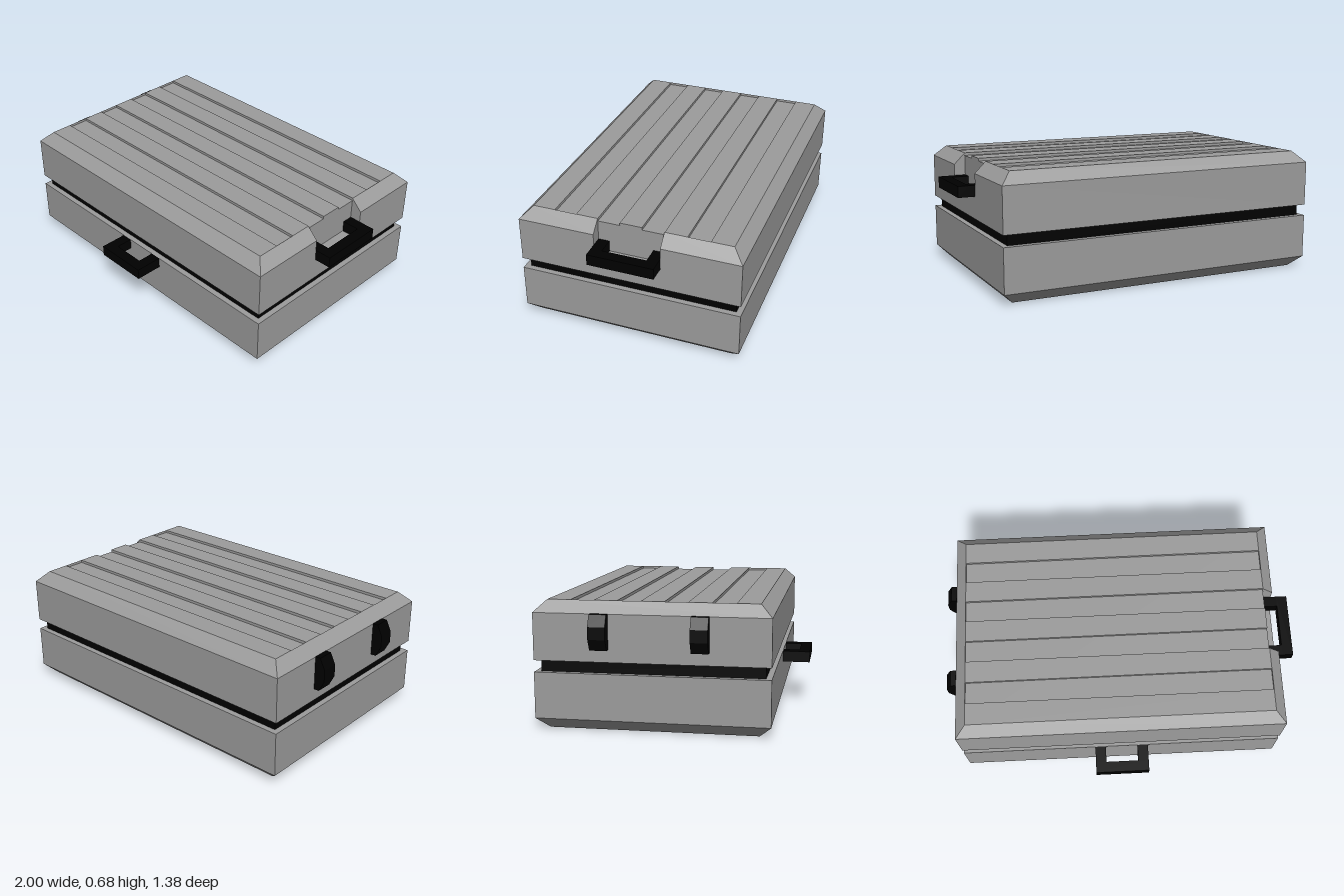
import * as THREE from 'three';

const grey = new THREE.MeshStandardMaterial({ color: 0x9c9c9c, flatShading: true });
const black = new THREE.MeshStandardMaterial({ color: 0x000000, flatShading: true });

// outer and inner (chamfer) rectangles of the case, seen from above
const X0 = -0.94, X1 = 0.906, Z0 = -0.692, Z1 = 0.538, C = 0.062;
const x0 = X0 + C, x1 = X1 - C, z0 = Z0 + C, z1 = Z1 - C;
const GROOVE = 0.015, STRIPS = 9;

function box(name, material, ax, bx, ay, by, az, bz) {
  const mesh = new THREE.Mesh(new THREE.BoxGeometry(bx - ax, Math.abs(by - ay), bz - az), material);
  mesh.position.set((ax + bx) / 2, (ay + by) / 2, (az + bz) / 2);
  mesh.name = name;
  return mesh;
}

// six-sided solid: four corners of one end, then the matching four of the other
function hexahedron(name, c) {
  const quads = [[3, 2, 1, 0], [4, 5, 6, 7], [0, 1, 5, 4], [1, 2, 6, 5], [2, 3, 7, 6], [3, 0, 4, 7]];
  const p = c.map(v => new THREE.Vector3(...v));
  // turn the faces outward whichever way round the corners run
  const n = p[1].clone().sub(p[0]).cross(p[2].clone().sub(p[0]));
  const outward = n.dot(p[4].clone().sub(p[0])) > 0;
  const pos = [];
  for (const q of quads) {
    const [a, b, d, e] = outward ? q : [...q].reverse();
    for (const i of [a, b, d, a, d, e]) pos.push(...c[i]);
  }
  const g = new THREE.BufferGeometry();
  g.setAttribute('position', new THREE.Float32BufferAttribute(pos, 3));
  g.computeVertexNormals();
  const mesh = new THREE.Mesh(g, grey);
  mesh.name = name;
  return mesh;
}

// chamfered rim segment; o and i are [x, z] points on the outer and inner outline
function rim(name, oA, oB, iA, iB, base, shoulder, top) {
  const section = (o, i) => [[i[0], base, i[1]], [o[0], base, o[1]], [o[0], shoulder, o[1]], [i[0], top, i[1]]];
  return hexahedron(name, [...section(oA, iA), ...section(oB, iB)]);
}

// half of the case; a pocket { from, to, floor } cuts its left rim
function shell(name, base, shoulder, top, pocket) {
  const g = new THREE.Group();
  g.name = name;
  const floor = top + Math.sign(base - top) * GROOVE;
  g.add(box('panel', grey, x0, x1, base, floor, z0, z1));
  // raised ribs alternate with grooves
  const w = (z1 - z0) / STRIPS;
  for (let i = 0; i < STRIPS; i += 2) {
    g.add(box('rib', grey, x0, x1, floor, top, z0 + i * w, z0 + (i + 1) * w));
  }
  const levels = [base, shoulder, top];
  g.add(rim('frontRim', [X0, Z1], [X1, Z1], [x0, z1], [x1, z1], ...levels));
  g.add(rim('backRim', [X0, Z0], [X1, Z0], [x0, z0], [x1, z0], ...levels));
  g.add(rim('rightRim', [X0, Z0], [X0, Z1], [x0, z0], [x0, z1], ...levels));
  if (pocket) {
    const { from, to } = pocket;
    g.add(rim('leftRim', [X1, Z0], [X1, from], [x1, z0], [x1, from], ...levels));
    g.add(rim('leftRim', [X1, to], [X1, Z1], [x1, to], [x1, z1], ...levels));
    g.add(box('pocketFloor', grey, x1, X1, base, pocket.floor, from, to));
  } else {
    g.add(rim('leftRim', [X1, Z0], [X1, Z1], [x1, z0], [x1, z1], ...levels));
  }
  return g;
}

// U-shaped handle reaching out along +z from the origin
function handle(name, width, reach, height) {
  const g = new THREE.Group(), t = 0.061, h = width / 2;
  g.name = name;
  for (const s of [-1, 1]) {
    const c = s * (h - t / 2);
    g.add(box('arm', black, c - t / 2, c + t / 2, 0, height, 0, reach - t));
  }
  g.add(box('grip', black, -h, h, 0, height, reach - t, reach));
  return g;
}

export function createModel() {
  const model = new THREE.Group();
  model.name = 'case';

  model.add(shell('lowerShell', 0.307, C, 0));
  model.add(shell('upperShell', 0.369, 0.618, 0.68, { from: -0.26, to: 0.108, floor: 0.493 }));

  // dark seam between the halves
  model.add(box('seam', black, X0 + 0.031, X1 - 0.031, 0.307, 0.369, Z0 + 0.031, Z1 - 0.031));

  const frontHandle = handle('frontHandle', 0.308, 0.692 - Z1, 0.061);
  frontHandle.position.set(-0.016, 0.246, Z1);
  const sideHandle = handle('sideHandle', 0.368, 1 - x1, 0.062);
  sideHandle.position.set(x1, 0.493, -0.076);
  sideHandle.rotation.y = Math.PI / 2;
  model.add(frontHandle, sideHandle);

  // bevelled feet on the side opposite the handle
  const outline = new THREE.Shape([[-0.94, 0.435], [-0.94, 0.62], [-0.97, 0.62], [-1, 0.56], [-1, 0.495], [-0.97, 0.435]]
    .map(([x, y]) => new THREE.Vector2(x, y)));
  const footGeometry = new THREE.ExtrudeGeometry(outline, { depth: 0.09, bevelEnabled: false });
  for (const z of [-0.386, 0.135]) {
    const foot = new THREE.Mesh(footGeometry, black);
    foot.name = 'foot';
    foot.position.z = z;
    model.add(foot);
  }
  return model;
}
